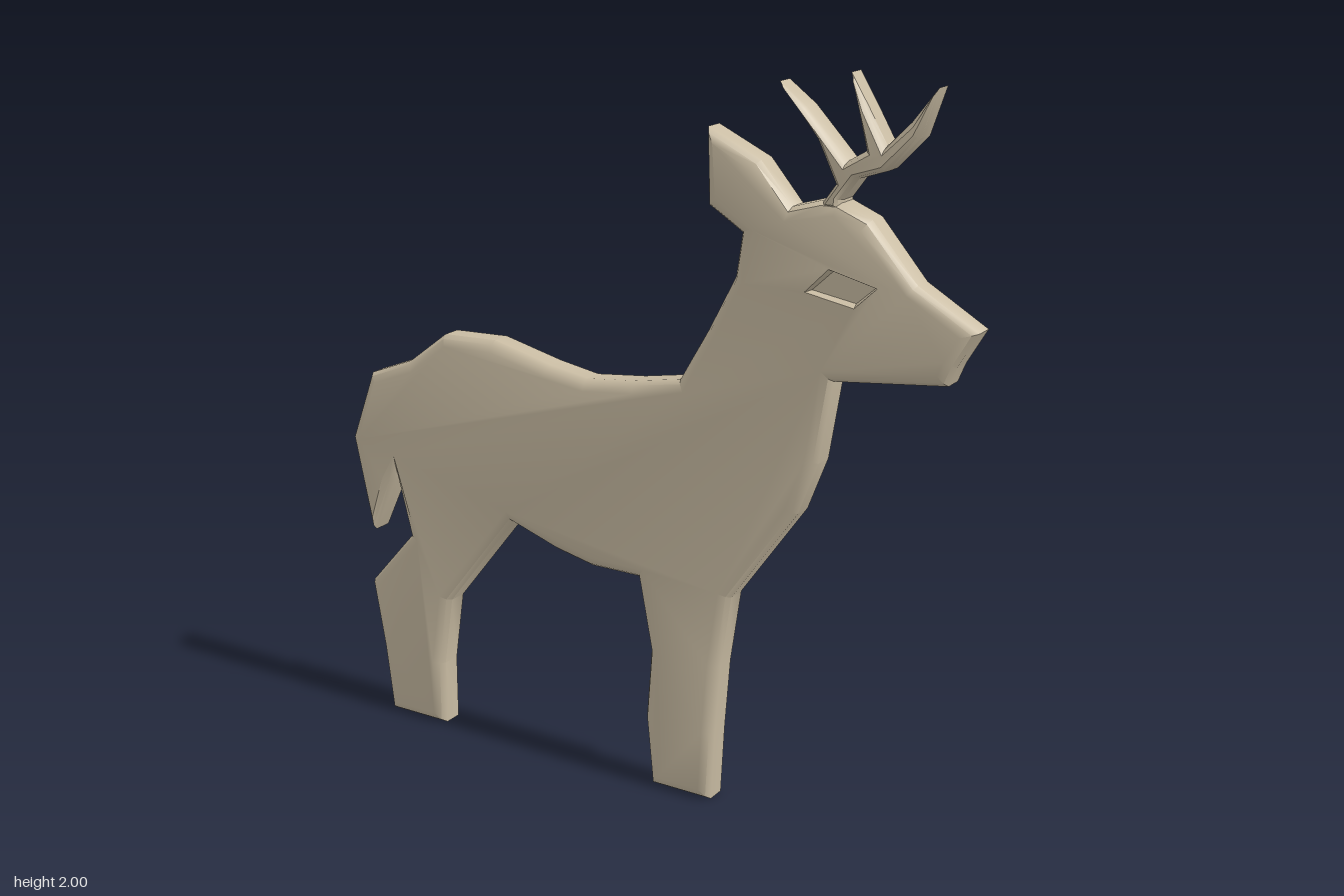
import * as THREE from 'three';
import { toCreasedNormals } from 'three/addons/utils/BufferGeometryUtils.js';

const BACK = -0.042;

// Outlines run clockwise as listed and are reversed before use.
const rearOutline = [
  [-0.85, 0], [-0.875, 0.2], [-0.91, 0.4], [-0.76, 0.57], [-0.805, 0.765], [-0.82, 0.72],
  [-0.895, 0.56], [-0.96, 0.84], [-0.885, 1.04], [-0.745, 1.095], [-0.62, 1.19], [-0.45, 1.197],
  [-0.27, 1.155], [-0.15, 1.135], [0, 1.152], [0.14, 1.178],
];
const headOutline = [
  [0.225, 1.325], [0.3, 1.47], [0.317, 1.585], [0.22, 1.645], [0.215, 1.84], [0.365, 1.77],
  [0.455, 1.665], [0.54, 1.69], [0.585, 1.69], [0.67, 1.655], [0.795, 1.51], [0.957, 1.415],
  [0.905, 1.325], [0.885, 1.275], [0.58, 1.24],
];
const frontOutline = [
  [0.545, 1.02], [0.49, 0.875], [0.3, 0.605], [0.27, 0.4], [0.255, 0.2], [0.245, 0],
  [0.06, 0], [0.04, 0.2], [0.055, 0.4], [0.015, 0.605], [-0.135, 0.605], [-0.25, 0.63],
  [-0.4, 0.68], [-0.625, 0.395], [-0.655, 0.19], [-0.655, 0],
];
const antlerOutline = [
  [0.54, 1.67], [0.54, 1.69], [0.572, 1.735], [0.52, 1.835], [0.41, 1.965], [0.485, 1.91],
  [0.6, 1.79], [0.65, 1.82], [0.6, 2.0], [0.65, 1.92], [0.7, 1.835], [0.76, 1.895],
  [0.825, 1.98], [0.785, 1.86], [0.705, 1.775], [0.63, 1.75], [0.59, 1.695], [0.59, 1.67],
];
const eyeOutline = [[0.505, 1.462], [0.57, 1.527], [0.7, 1.495], [0.64, 1.438]];

const toPoints = (list) => list.map(([x, y]) => new THREE.Vector2(x, y)).reverse();

// Moves each corner inward along its mitre, limited at sharp corners
function inset(pts, amount, limit = 1.5) {
  const inward = (a, b) => new THREE.Vector2(a.y - b.y, b.x - a.x).normalize();
  return pts.map((p, i) => {
    const n1 = inward(pts[(i + pts.length - 1) % pts.length], p);
    const n2 = inward(p, pts[(i + 1) % pts.length]);
    const m = n1.clone().add(n2).normalize();
    return p.clone().addScaledVector(m, amount / Math.max(m.dot(n1), 1 / limit));
  });
}

// Joins neighbouring rings with quads
function addBands(out, rings) {
  for (let r = 0; r + 1 < rings.length; r++) {
    const A = rings[r], B = rings[r + 1], n = A.length;
    for (let i = 0; i < n; i++) {
      const j = (i + 1) % n;
      for (const v of [A[i], A[j], B[j], A[i], B[j], B[i]]) out.push(v.x, v.y, v.z);
    }
  }
}

// Fills a ring, with optional holes
function addCap(out, ring, holes = [], flip = false) {
  const all = [ring, ...holes].flat();
  const flat = (r) => r.map((v) => new THREE.Vector2(v.x, v.y));
  for (const f of THREE.ShapeUtils.triangulateShape(flat(ring), holes.map(flat))) {
    const face = flip ? [f[2], f[1], f[0]] : f;
    for (const k of face) out.push(all[k].x, all[k].y, all[k].z);
  }
}

function makeGeometry(out) {
  const g = new THREE.BufferGeometry();
  g.setAttribute('position', new THREE.Float32BufferAttribute(out, 3));
  return toCreasedNormals(g, 0.6);
}

// Plate with a flat back and a rounded front edge; profile holds [inset, z]
function reliefPlate(pts, profile, lift, holes = []) {
  const out = [];
  const rings = profile.map(([d, z], k) => inset(pts, d).map(
    (p) => new THREE.Vector3(p.x, p.y, z + (k > 1 ? lift(p.x, p.y) : 0))));
  addBands(out, rings);
  addCap(out, rings[rings.length - 1], holes);
  addCap(out, rings[0], [], true);
  return makeGeometry(out);
}

export function createModel() {
  const group = new THREE.Group();
  const beige = new THREE.MeshStandardMaterial({ color: 0xc9bca3 });
  beige.name = 'beige';
  const add = (name, geometry) => {
    const mesh = new THREE.Mesh(geometry, beige);
    mesh.name = name;
    group.add(mesh);
  };

  // Slight swelling of the brow under the antler
  const brow = (x, y) => 0.007 * Math.exp(-((x - 0.55) ** 2 + (y - 1.65) ** 2) / 0.02);

  // Body, legs, tail, ear and head in one plate, open at the eye
  const eye = toPoints(eyeOutline);
  const eyeRim = eye.map((p) => new THREE.Vector3(p.x, p.y, 0.036 + brow(p.x, p.y)));
  const body = toPoints([...rearOutline, ...headOutline, ...frontOutline]);
  add('body', reliefPlate(body,
    [[0, BACK], [0, 0.012], [0.01, 0.027], [0.03, 0.036]], brow, [eyeRim]));

  // Recessed eye with sloping walls and a flat floor
  const eyeFloor = inset(eye, 0.008).map((p) => new THREE.Vector3(p.x, p.y, 0.018));
  const socket = [];
  addBands(socket, [eyeRim, eyeFloor]);
  addCap(socket, eyeFloor);
  add('eyeSocket', makeGeometry(socket));

  // Antler, thinner toward the tips
  const taper = (x, y) => -0.02 * THREE.MathUtils.clamp((y - 1.8) / 0.2, 0, 1);
  add('antler', reliefPlate(toPoints(antlerOutline),
    [[0, BACK], [0, 0.008], [0.006, 0.028], [0.014, 0.036]], taper));

  return group;
}
